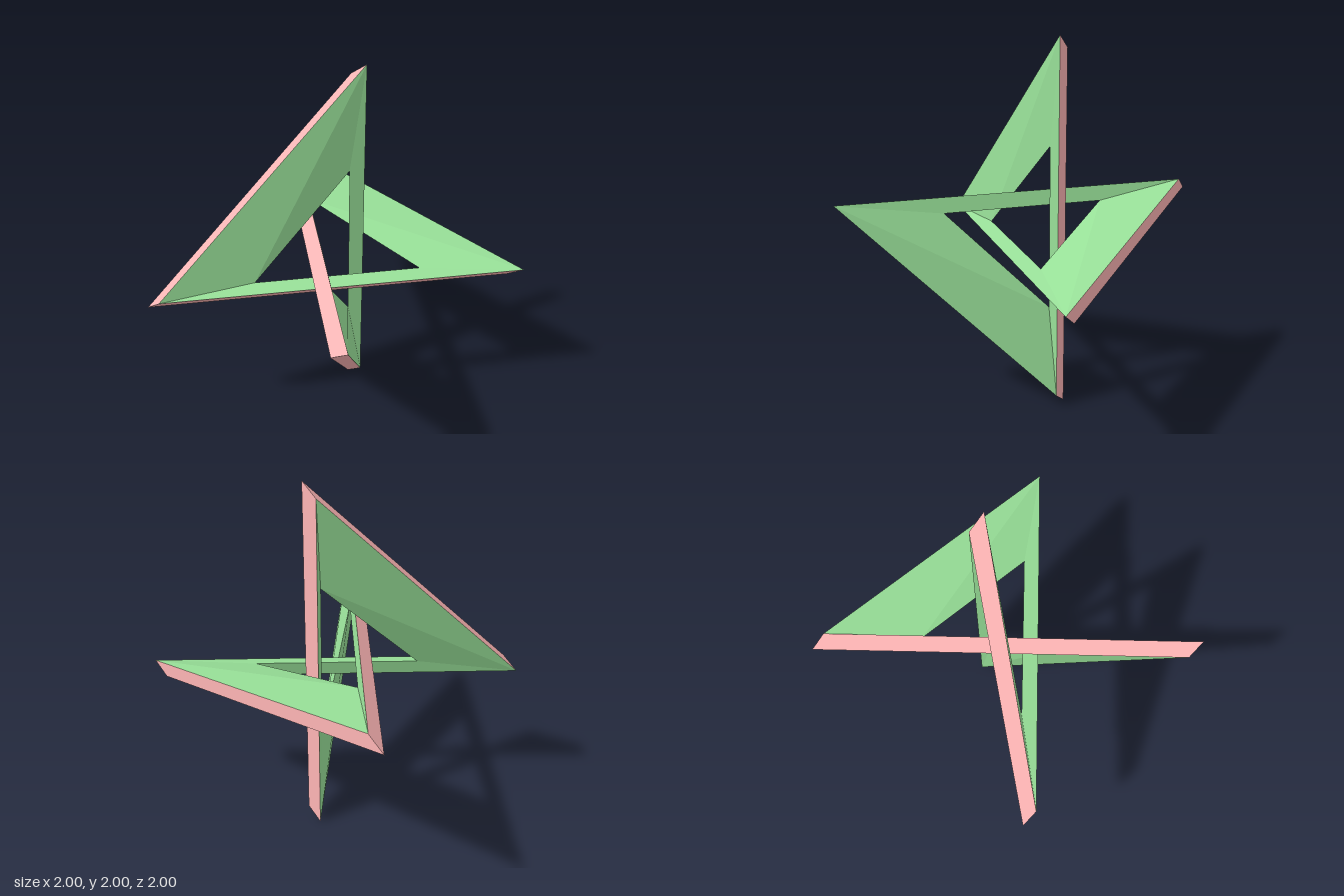
import * as THREE from 'three';

const green = new THREE.MeshStandardMaterial({ color: 0x98e098, flatShading: true });
const pink = new THREE.MeshStandardMaterial({ color: 0xffb6b6, flatShading: true });

// Six corners of the closed knot: a long bar along each axis, joined by slanted bars.
// Each corner is [x, y, z] = (near, along, -near) rotated cyclically through the axes.
function corners(near, along) {
  const roll = ([x, y, z], n) => [[x, y, z], [z, x, y], [y, z, x]][n];
  const top = [near, along, -near], bottom = [near, -along, -near];
  return [
    roll(top, 0), roll(bottom, 0),   // vertical bar
    roll(top, 2), roll(bottom, 2),   // placeholder order, sorted below
    roll(top, 1), roll(bottom, 1),
  ].map((p) => new THREE.Vector3(...p));
}

// Reorder so that the loop runs top, bottom, front, back, right, left.
function loopPoints(near, along) {
  const c = corners(near, along);
  const pick = (axis, sign) => c.find((p) => p[axis] * sign > near * 2);
  return [pick('y', 1), pick('y', -1), pick('z', 1), pick('z', -1), pick('x', 1), pick('x', -1)];
}

function surface(name, triangles, material) {
  const geometry = new THREE.BufferGeometry().setFromPoints(triangles);
  geometry.computeVertexNormals();
  const mesh = new THREE.Mesh(geometry, material);
  mesh.name = name;
  return mesh;
}

export function createModel() {
  const model = new THREE.Group();
  model.name = 'triangularKnot';

  // Wedge section: a thin outer edge, tapering to a sharp inner edge
  const half = 0.0325;
  const middle = loopPoints(0.135, 0.9675);
  const upper = middle.map((p) => p.clone().addScalar(half));
  const lower = middle.map((p) => p.clone().addScalar(-half));
  const inner = loopPoints(0.085, 0.44);

  const names = ['verticalBar', 'lowerFrontBar', 'depthBar', 'backRightBar', 'crossBar', 'upperLeftBar'];
  names.forEach((name, i) => {
    const j = (i + 1) % 6;
    const [a1, b1, a2, b2, ai, bi] = [upper[i], upper[j], lower[i], lower[j], inner[i], inner[j]];
    const bar = new THREE.Group();
    bar.name = name;
    bar.add(
      surface('upperFace', [a1, ai, b1, ai, bi, b1], green),
      surface('lowerFace', [a2, b2, bi, a2, bi, ai], green),
      surface('outerEdge', [a1, b1, b2, a1, b2, a2], pink),
    );
    bar.position.y = 1;
    model.add(bar);
  });
  return model;
}
